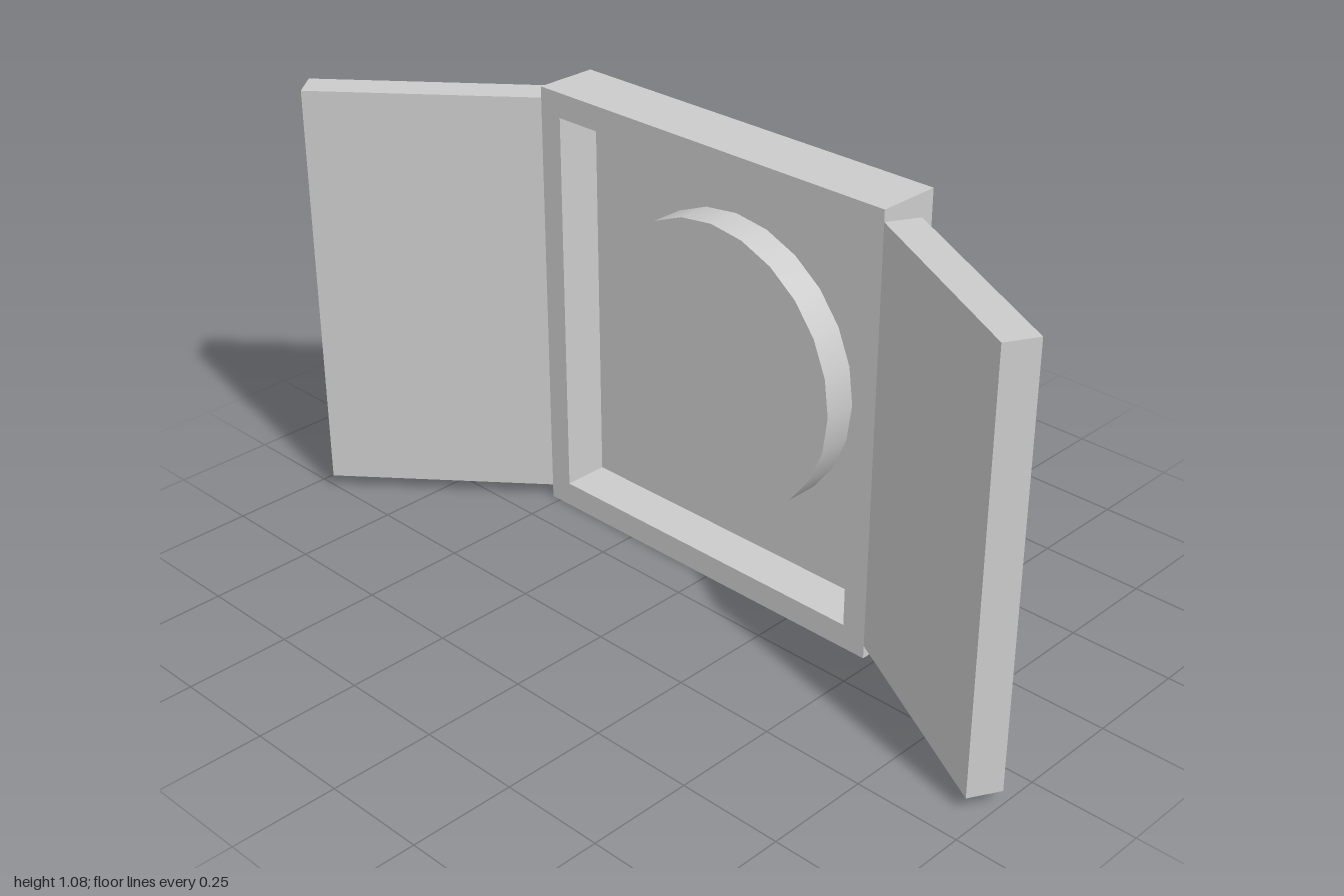
import * as THREE from 'three';

const material = new THREE.MeshStandardMaterial({ color: 0xcccccc });

function addMesh(parent, name, geometry, x, y, z) {
  const mesh = new THREE.Mesh(geometry, material);
  mesh.name = name;
  mesh.position.set(x, y, z);
  parent.add(mesh);
  return mesh;
}

export function createModel() {
  const model = new THREE.Group();
  model.name = 'dartboardCabinet';

  // Cabinet: opening faces -x, back panel on +x
  const height = 1.075, width = 1.0, rim = 0.06;
  const faceX = 0.095, recessX = 0.207, backX = 0.25, midZ = -0.025;
  const cabinet = new THREE.Group();
  cabinet.name = 'cabinet';
  model.add(cabinet);

  addMesh(cabinet, 'backPanel', new THREE.BoxGeometry(backX - recessX, height, width),
    (backX + recessX) / 2, height / 2, midZ);

  // Rim around the recess: two rails and two stiles
  const depth = recessX - faceX, rimX = (faceX + recessX) / 2;
  for (const side of [-1, 1]) {
    addMesh(cabinet, side > 0 ? 'topRail' : 'bottomRail', new THREE.BoxGeometry(depth, rim, width),
      rimX, height / 2 + side * (height - rim) / 2, midZ);
    addMesh(cabinet, side > 0 ? 'frontStile' : 'backStile', new THREE.BoxGeometry(depth, height - 2 * rim, rim),
      rimX, height / 2, midZ + side * (width - rim) / 2);
  }

  // Round board mounted in the recess
  const boardFaceX = 0.126;
  const board = addMesh(model, 'board', new THREE.CylinderGeometry(0.348, 0.348, recessX - boardFaceX, 24),
    (boardFaceX + recessX) / 2, 0.533, midZ);
  board.rotation.z = Math.PI / 2;

  // Open doors, each swung about a front edge of the cabinet
  const thickness = 0.081, doorLength = 0.552, doorBottom = 0.033, doorTop = 1.048;
  for (const [name, side, angle] of [['frontDoor', 1, -0.5], ['backDoor', -1, 0.69]]) {
    const hinge = new THREE.Group();
    hinge.name = name;
    hinge.position.set(faceX, 0, midZ + side * width / 2);
    hinge.rotation.y = angle;
    model.add(hinge);
    addMesh(hinge, name + 'Panel', new THREE.BoxGeometry(thickness, doorTop - doorBottom, doorLength),
      thickness / 2, (doorTop + doorBottom) / 2, side * doorLength / 2);
  }

  return model;
}
